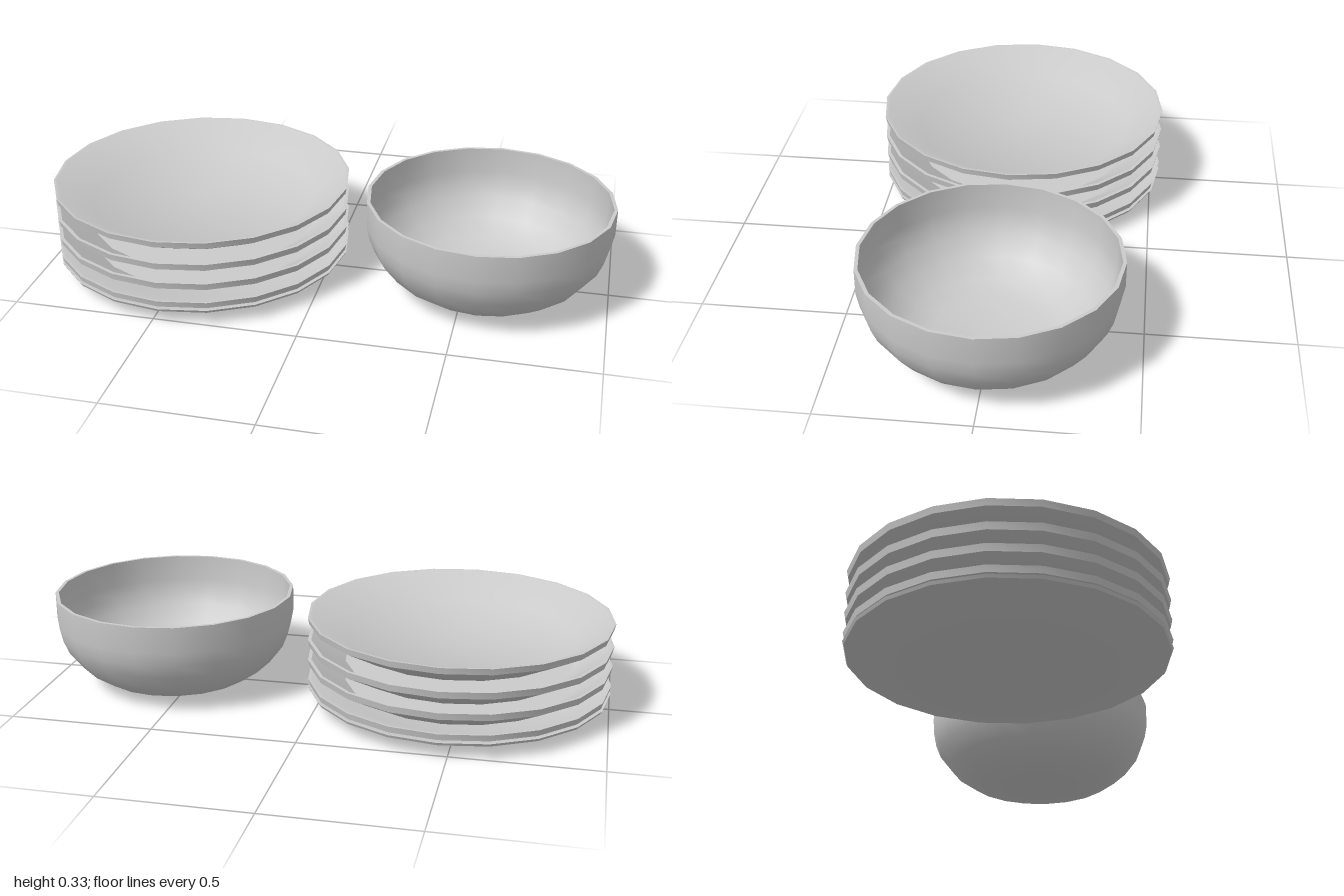
import * as THREE from 'three';
import { toCreasedNormals } from 'three/addons/utils/BufferGeometryUtils.js';

const SIDES = 20;
const material = new THREE.MeshStandardMaterial({ color: 0xcccccc });

// Turned part from [radius, height] points, running from the underside centre round to the inside centre
function turned(name, points, x) {
  const profile = points.map(([r, y]) => new THREE.Vector2(r, y));
  const geometry = toCreasedNormals(new THREE.LatheGeometry(profile, SIDES), 0.6);
  const mesh = new THREE.Mesh(geometry, material);
  mesh.name = name;
  mesh.position.x = x;
  return mesh;
}

// Plate with a thin upright rim, a sloping border and a flat floor
function plate(name, top, rim, drop) {
  const edge = top - rim;
  const base = edge - drop;
  return turned(name, [
    [0, base - 0.005], [0.17, base - 0.005], [0.4, base],
    [0.527, edge], [0.532, top], [0.52, top],
    [0.4, base + 0.012], [0, base + 0.01],
  ], -0.47);
}

export function createModel() {
  const group = new THREE.Group();

  // Stack of plates: rim top, rim height, depth below the rim
  const stack = new THREE.Group();
  stack.name = 'plateStack';
  const plates = [
    [0.06, 0.01, 0.045],
    [0.09, 0.022, 0.045],
    [0.162, 0.024, 0.07],
    [0.235, 0.024, 0.07],
    [0.315, 0.022, 0.07],
  ];
  plates.forEach(([top, rim, drop], i) => stack.add(plate('plate' + (i + 1), top, rim, drop)));
  group.add(stack);

  // Bowl with a thin wall
  group.add(turned('bowl', [
    [0, 0], [0.2, 0], [0.28, 0.026], [0.35, 0.075], [0.4, 0.14], [0.42, 0.19],
    [0.43, 0.24], [0.43, 0.333], [0.418, 0.333], [0.418, 0.24], [0.408, 0.195],
    [0.388, 0.148], [0.34, 0.087], [0.272, 0.04], [0.2, 0.016], [0, 0.014],
  ], 0.57));

  return group;
}
